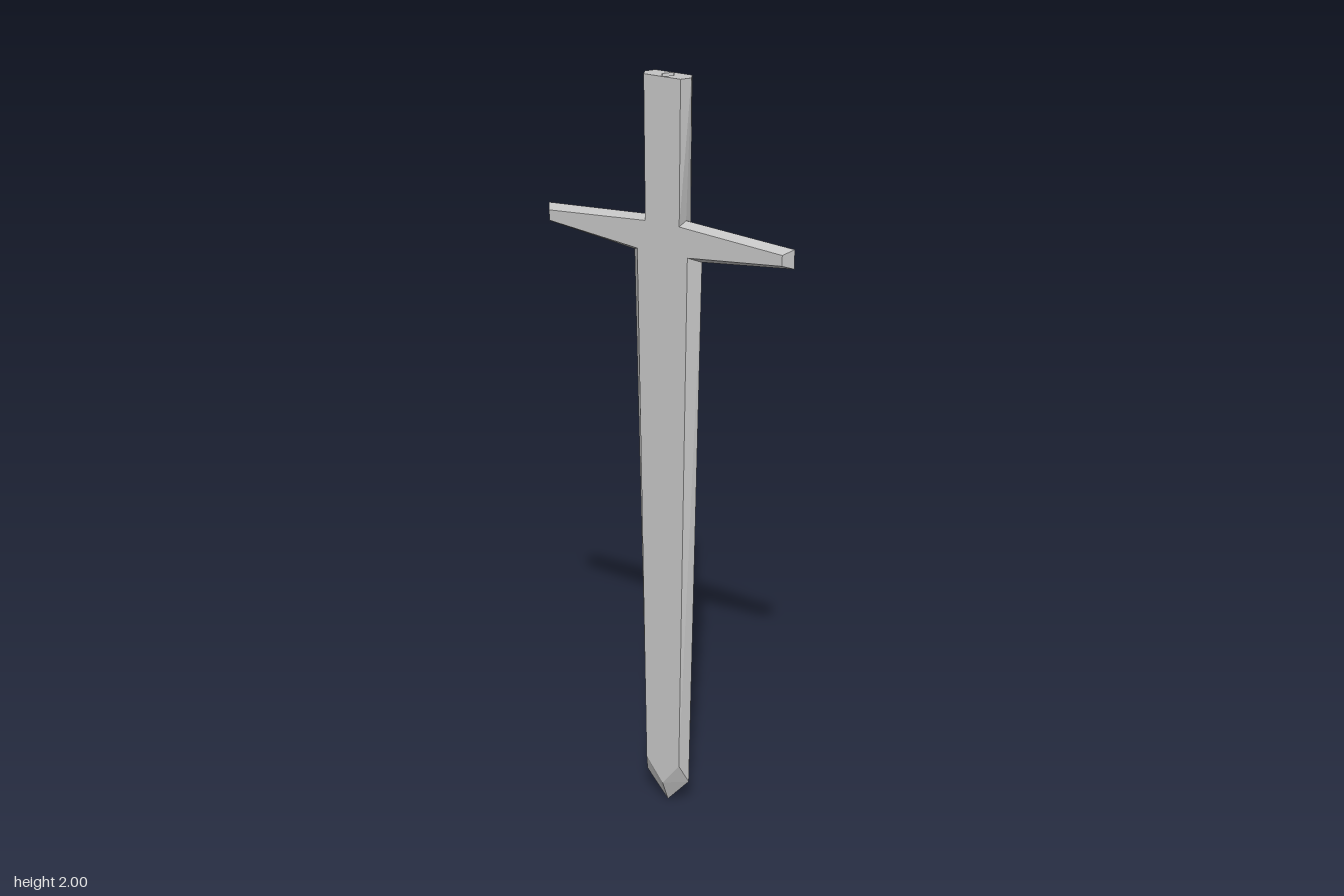
import * as THREE from 'three';

const D = 0.026; // half thickness of the flat faces

const steel = new THREE.MeshStandardMaterial({ color: 0xc4c4c4 });
steel.name = 'steel grey';

// Unindexed triangles give hard facets.
function facetedMesh(name, triangles) {
  const geometry = new THREE.BufferGeometry();
  geometry.setAttribute('position', new THREE.Float32BufferAttribute(triangles.flat(2), 3));
  geometry.computeVertexNormals();
  const mesh = new THREE.Mesh(geometry, steel);
  mesh.name = name;
  return mesh;
}

// Mirrors an open outline to the other side and reverses its direction.
const mirror = (path) => path.map(([ix, iy, ox, oy]) => [-ix, iy, -ox, oy]).reverse();

// Flat front and back joined by bevels to a sharp middle edge.
// Points are [flat x, flat y, edge x, edge y], counter-clockwise;
// the gaps between paths are joints and get no bevel.
function bevelled(name, paths) {
  const triangles = [];
  const both = (tri) => {
    triangles.push(tri);
    triangles.push(tri.map(([x, y, z]) => [x, y, -z]).reverse());
  };
  const flat = paths.flat().map(([x, y]) => new THREE.Vector2(x, y));
  for (const tri of THREE.ShapeUtils.triangulateShape(flat, [])) {
    both(tri.map((i) => [flat[i].x, flat[i].y, D]));
  }
  for (const path of paths) {
    for (let i = 0; i < path.length - 1; i++) {
      const [p, q] = [path[i], path[i + 1]];
      const a = [p[0], p[1], D], b = [q[0], q[1], D];
      const A = [p[2], p[3], 0], B = [q[2], q[3], 0];
      both([a, A, B]);
      both([a, B, b]);
    }
  }
  return facetedMesh(name, triangles);
}

// Flat end of the grip with a small diamond-shaped pit.
function gripEnd() {
  const triangles = [];
  const pit = [0, 1.94, 0];
  for (const s of [1, -1]) {
    for (const t of [1, -1]) {
      const rim = [0, 2, t * D], corner = [s * 0.017, 2, 0];
      const side = [s * 0.067, 2, 0], face = [s * 0.053, 2, t * D];
      const tris = [[rim, face, side], [rim, side, corner], [rim, corner, pit]];
      for (const tri of tris) triangles.push(s * t > 0 ? tri : tri.reverse());
    }
  }
  return facetedMesh('gripEnd', triangles);
}

export function createModel() {
  const sword = new THREE.Group();
  sword.name = 'sword';

  // Tapering blade, from the tip up to the guard
  const bladeSide = [
    [0, 0.063, 0, 0],
    [0.052, 0.13, 0.067, 0.075],
    [0.074, 1.56, 0.1, 1.547],
  ];
  sword.add(bevelled('blade', [[...mirror(bladeSide), ...bladeSide.slice(1)]]));

  // Cross guard with narrowing arms
  const guardArm = [
    [0.074, 1.56, 0.1, 1.547],
    [0.343, 1.587, 0.362, 1.576],
    [0.343, 1.614, 0.362, 1.625],
    [0.05, 1.635, 0.053, 1.645],
  ];
  sword.add(bevelled('guard', [guardArm, mirror(guardArm)]));

  // Grip, widening towards its end
  const gripSide = [
    [0.05, 1.635, 0.053, 1.645],
    [0.053, 2, 0.067, 2],
  ];
  sword.add(bevelled('grip', [gripSide, mirror(gripSide)]));
  sword.add(gripEnd());

  return sword;
}
